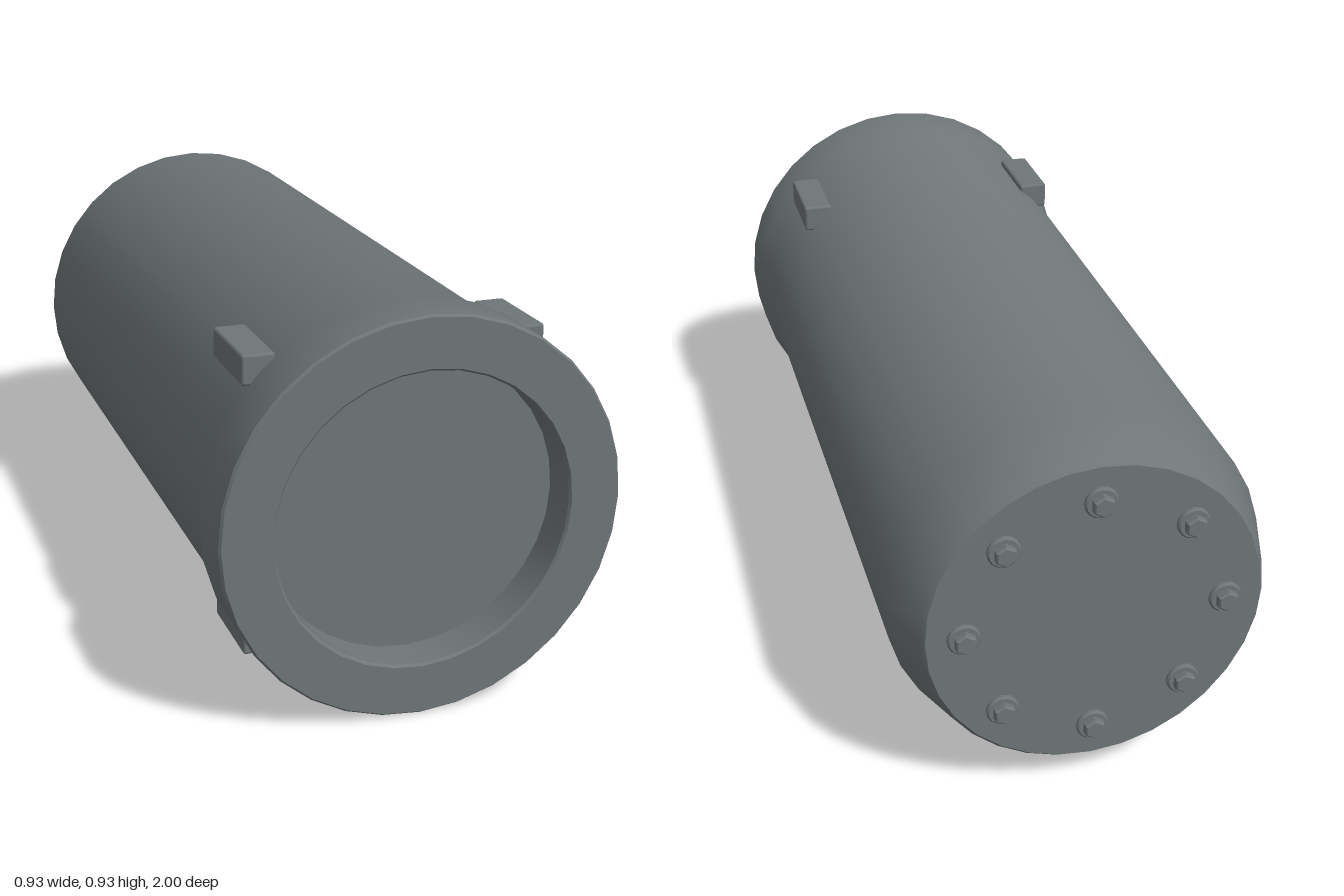
import * as THREE from 'three';
import { toCreasedNormals } from 'three/addons/utils/BufferGeometryUtils.js';
import { RoundedBoxGeometry } from 'three/addons/geometries/RoundedBoxGeometry.js';

const AXIS_Y = 0.468; // height of the cylinder's axis

export function createModel() {
  const model = new THREE.Group();
  const grey = new THREE.MeshStandardMaterial({ color: 0x6f7678 });
  grey.name = 'steel grey';

  const add = (name, geometry, parent = model) => {
    const mesh = new THREE.Mesh(geometry, grey);
    mesh.name = name;
    parent.add(mesh);
    return mesh;
  };

  // Turned parts: profile of [radius, z] from back to front
  const turned = (profile, sides, crease) => toCreasedNormals(
    new THREE.LatheGeometry(profile.map(([r, z]) => new THREE.Vector2(r, z)), sides)
      .rotateX(Math.PI / 2), crease);

  // Casing: tapered back, straight wall, front collar and recessed face
  add('casing', turned([
    [0, -0.972], [0.385, -0.972], [0.394, -0.962],
    [0.442, -0.82], [0.442, 0.81],
    [0.465, 0.855], [0.465, 0.994], [0.46, 1],
    [0.347, 1], [0.342, 0.994], [0.342, 0.905], [0, 0.905],
  ], 32, 0.6)).position.y = AXIS_Y;

  // Four lugs behind the collar
  const lug = new RoundedBoxGeometry(0.076, 0.07, 0.215, 2, 0.007);
  for (const [sx, side] of [[1, 'left'], [-1, 'right']]) {
    for (const [sy, level] of [[1, 'Upper'], [-1, 'Lower']]) {
      add(side + level + 'Lug', lug)
        .position.set(sx * 0.317, AXIS_Y + sy * 0.32, 0.707);
    }
  }

  // Ring of eight bolts on the back plate, each a washer with a hex head
  const washer = turned([[0, -0.982], [0.034, -0.982], [0.038, -0.978], [0.038, -0.968]], 16, 0.6);
  const head = turned([[0, -1], [0.022, -1], [0.026, -0.996], [0.026, -0.975]], 6, 0.3);
  const bolts = new THREE.Group();
  bolts.name = 'backBolts';
  bolts.position.y = AXIS_Y;
  model.add(bolts);
  for (let i = 0; i < 8; i++) {
    const a = (i * Math.PI) / 4;
    const bolt = new THREE.Group();
    bolt.name = 'bolt' + (i + 1);
    bolt.position.set(Math.cos(a) * 0.3, Math.sin(a) * 0.3, 0);
    add('washer', washer, bolt);
    add('boltHead', head, bolt);
    bolts.add(bolt);
  }

  return model;
}
